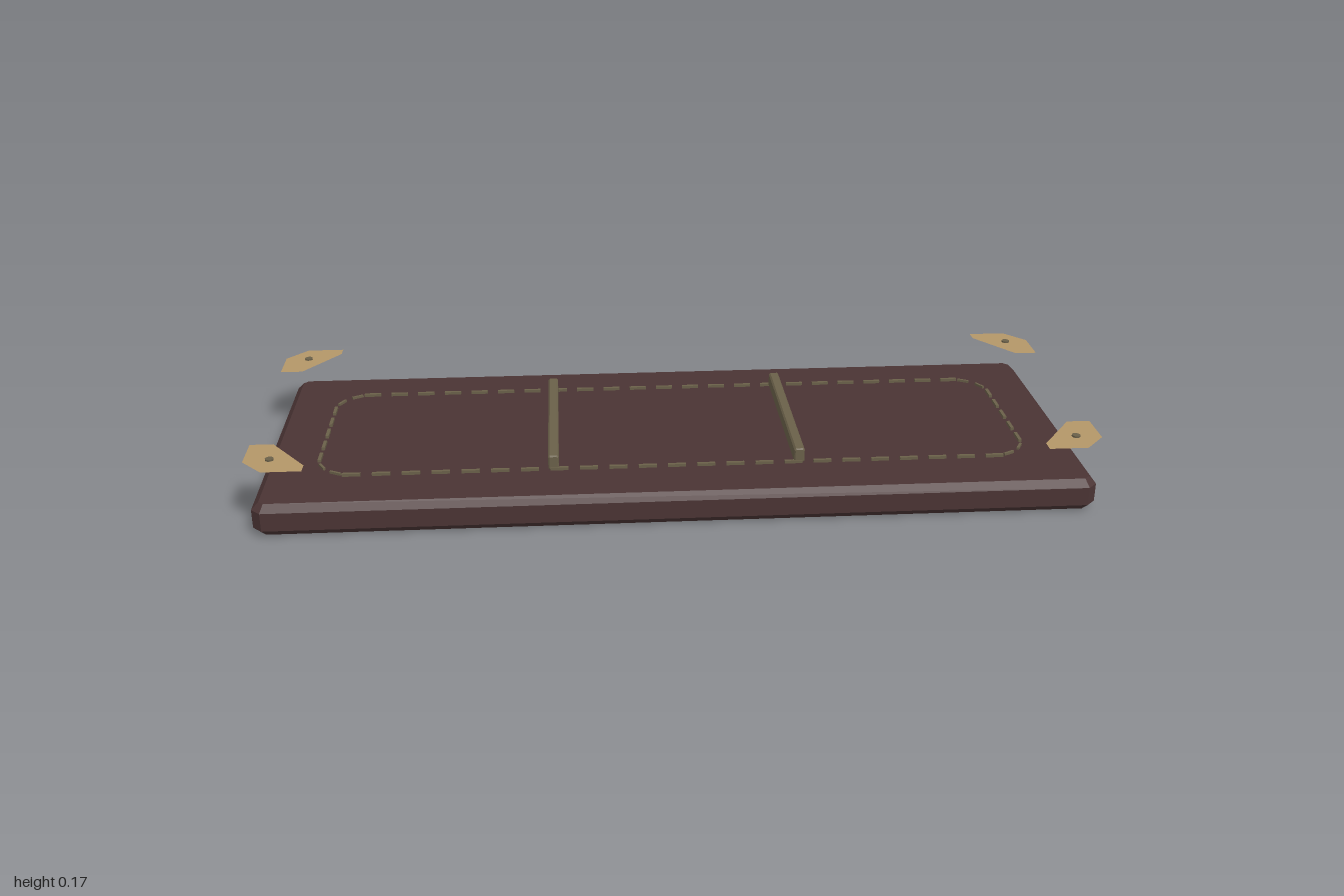
import * as THREE from 'three';

const leather = new THREE.MeshStandardMaterial({ color: 0x4a3434 });
leather.name = 'dark brown cover';
leather.flatShading = true;
const olive = new THREE.MeshStandardMaterial({ color: 0x6a6049 });
olive.name = 'olive brass';
const brass = new THREE.MeshStandardMaterial({ color: 0xb39668, side: THREE.DoubleSide });
brass.name = 'pale brass';

// Shape from [x, z] points, to be laid flat
const shapeOf = pts => new THREE.Shape(pts.map(p => new THREE.Vector2(p[0], p[1])));

// Octagonal outline: a rectangle with cut corners
const cutRect = (x, y, c) => shapeOf([
  [-x + c, -y], [x - c, -y], [x, -y + c], [x, y - c],
  [x - c, y], [-x + c, y], [-x, y - c], [-x, -y + c],
]);

// Bevelled slab with its outer size given, extruded along +z from 0
function bevelled(x, y, depth, corner, bevel) {
  const g = new THREE.ExtrudeGeometry(cutRect(x - bevel, y - bevel, corner), {
    depth: depth - 2 * bevel, bevelEnabled: true, bevelSegments: 1,
    bevelSize: bevel, bevelThickness: bevel,
  });
  return g.translate(0, 0, bevel);
}

function add(parent, name, geometry, material, x = 0, y = 0, z = 0) {
  const mesh = new THREE.Mesh(geometry, material);
  mesh.name = name;
  mesh.position.set(x, y, z);
  parent.add(mesh);
  return mesh;
}

export function createModel() {
  const model = new THREE.Group();
  model.name = 'coverPanel';

  // Main slab with chamfered edges
  add(model, 'slab', bevelled(0.984, 0.382, 0.079, 0.012, 0.017).rotateX(-Math.PI / 2), leather);

  // Two raised cross bars
  const bar = bevelled(0.0125, 0.0185, 0.484, 0.002, 0.003).translate(0, 0, -0.242);
  for (const side of [1, -1]) {
    add(model, side > 0 ? 'leftBar' : 'rightBar', bar, olive, side * 0.294, 0.1015, 0);
  }

  // Dashed stitching: straight runs and rounded corners
  const stitching = new THREE.Group();
  stitching.name = 'stitching';
  model.add(stitching);
  const hx = 0.855, hz = 0.24, r = 0.09, pitch = 0.07;
  const stitchGeo = new THREE.BoxGeometry(0.043, 0.007, 0.008);
  const cornerGeo = new THREE.BoxGeometry(0.03, 0.006, 0.006);
  const stitch = (geo, x, z, angle) => {
    add(stitching, 'stitch', geo, olive, x, 0.0865, z).rotation.y = angle;
  };
  for (const s of [1, -1]) {
    for (let i = -11; i <= 11; i++) stitch(stitchGeo, i * pitch, s * hz, 0);
    for (let i = -2; i <= 2; i++) stitch(stitchGeo, s * hx, i * pitch, Math.PI / 2);
    for (const t of [1, -1]) {
      for (const a of [0.5, 1.07]) {
        const dx = Math.cos(a), dz = Math.sin(a);
        stitch(cornerGeo, s * (hx - r + r * dx), t * (hz - r + r * dz), s * t * (Math.PI / 2 - a));
      }
    }
  }

  // Flat corner plates, each with a rivet, hovering above the slab
  const plateGeo = new THREE.ShapeGeometry(shapeOf([
    [1, 0.225], [1, 0.32], [0.95, 0.376], [0.858, 0.376], [0.858, 0.345], [0.945, 0.225],
  ])).rotateX(Math.PI / 2);
  const rivetGeo = new THREE.CylinderGeometry(0.01, 0.01, 0.006, 12);
  for (const sx of [1, -1]) {
    for (const sz of [1, -1]) {
      const corner = new THREE.Group();
      corner.name = (sz > 0 ? 'front' : 'back') + (sx > 0 ? 'Left' : 'Right') + 'Corner';
      // Mirroring keeps normals upward by baking the sign into the vertices
      const g = plateGeo.clone().scale(sx, 1, sz);
      if (sx * sz > 0) {
        const idx = g.index.array;
        for (let i = 0; i < idx.length; i += 3) [idx[i], idx[i + 1]] = [idx[i + 1], idx[i]];
      }
      g.computeVertexNormals();
      add(corner, 'plate', g, brass, 0, 0.164, 0);
      add(corner, 'rivet', rivetGeo, olive, sx * 0.94, 0.165, sz * 0.311);
      model.add(corner);
    }
  }
  return model;
}
